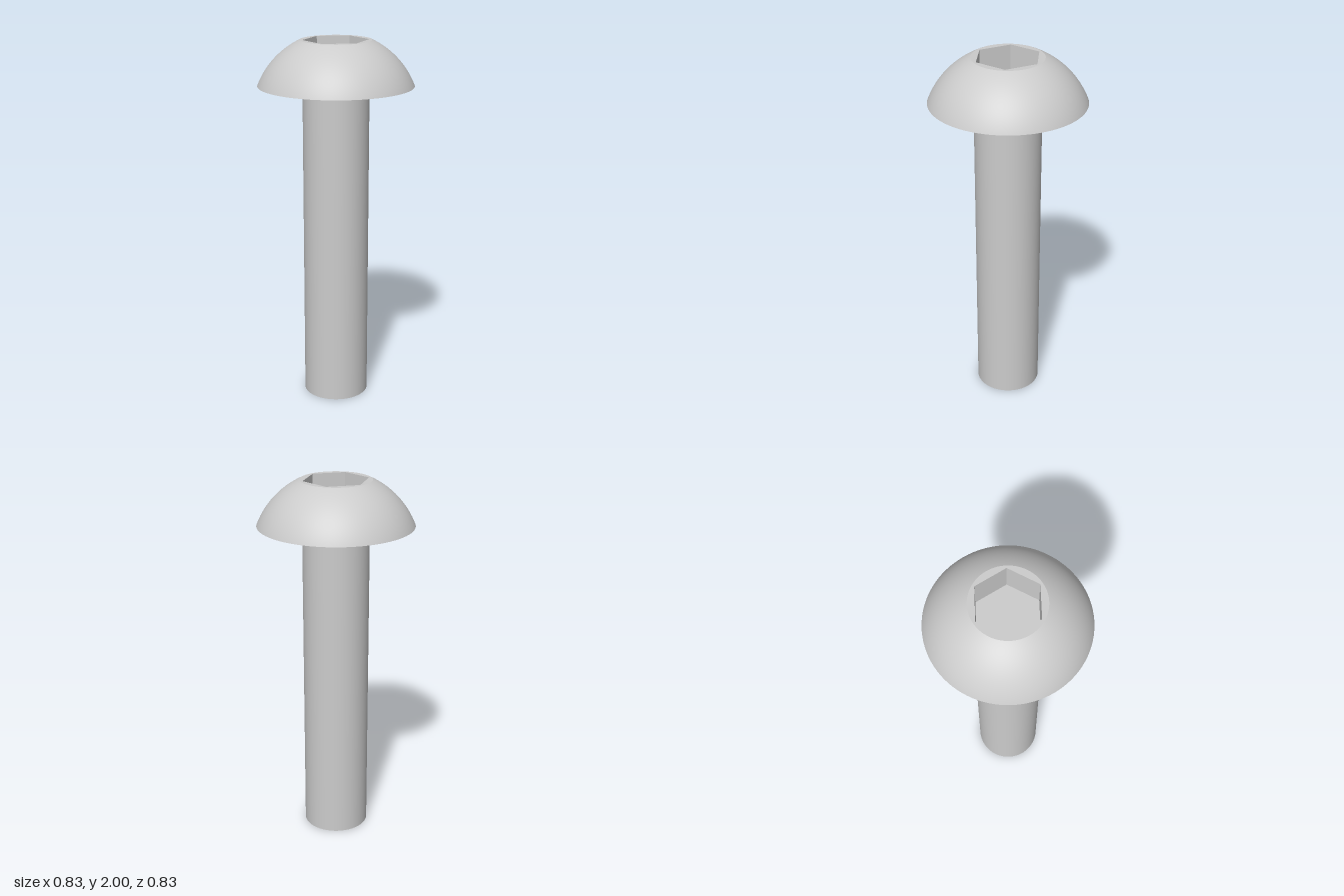
import * as THREE from 'three';

const SEGMENTS = 96;
const SHAFT_R = 0.178, HEAD_R = 0.417, TOP_R = 0.19;
const HEAD_Y = 1.76, TOP_Y = 2, HEX_R = 0.177, SOCKET_DEPTH = 0.18;

export function createModel() {
  const model = new THREE.Group();
  const material = new THREE.MeshStandardMaterial({ color: 0xcccccc });

  function add(parent, name, geometry, y = 0) {
    const mesh = new THREE.Mesh(geometry, material);
    mesh.name = name;
    mesh.position.y = y;
    parent.add(mesh);
    return mesh;
  }

  // Plain round shaft
  add(model, 'shaft', new THREE.CylinderGeometry(SHAFT_R, SHAFT_R, HEAD_Y, SEGMENTS), HEAD_Y / 2);

  const head = new THREE.Group();
  head.name = 'head';
  model.add(head);

  // Spherical dome, centred on the axis and cut flat at the top
  const h = TOP_Y - HEAD_Y;
  const drop = (HEAD_R ** 2 - TOP_R ** 2 - h ** 2) / (2 * h);
  const radius = Math.hypot(HEAD_R, drop);
  const start = Math.asin(TOP_R / radius);
  const end = Math.acos(drop / radius);
  add(head, 'dome', new THREE.SphereGeometry(radius, SEGMENTS, 24, 0, Math.PI * 2, start, end - start), HEAD_Y - drop);

  // Flat underside of the head
  add(head, 'underside', new THREE.RingGeometry(SHAFT_R, HEAD_R, SEGMENTS).rotateX(Math.PI / 2), HEAD_Y);

  // Flat top with a hexagonal opening, corners on the x axis
  const hexagon = Array.from({ length: 6 }, (_, i) =>
    new THREE.Vector2(Math.cos(i * Math.PI / 3), Math.sin(i * Math.PI / 3)).multiplyScalar(HEX_R));
  const top = new THREE.Shape().absarc(0, 0, TOP_R, 0, Math.PI * 2);
  top.holes.push(new THREE.Path(hexagon).closePath());
  add(head, 'topFace', new THREE.ShapeGeometry(top, SEGMENTS).rotateX(-Math.PI / 2), TOP_Y);

  // Six inward-facing socket walls
  const apothem = HEX_R * Math.cos(Math.PI / 6);
  for (let i = 0; i < 6; i++) {
    const wall = new THREE.PlaneGeometry(HEX_R, SOCKET_DEPTH)
      .translate(0, 0, -apothem)
      .rotateY(i * Math.PI / 3);
    add(head, 'socketWall', wall, TOP_Y - SOCKET_DEPTH / 2);
  }

  // Socket floor
  const floor = new THREE.ShapeGeometry(new THREE.Shape(hexagon)).rotateX(-Math.PI / 2);
  add(head, 'socketFloor', floor, TOP_Y - SOCKET_DEPTH);

  return model;
}
